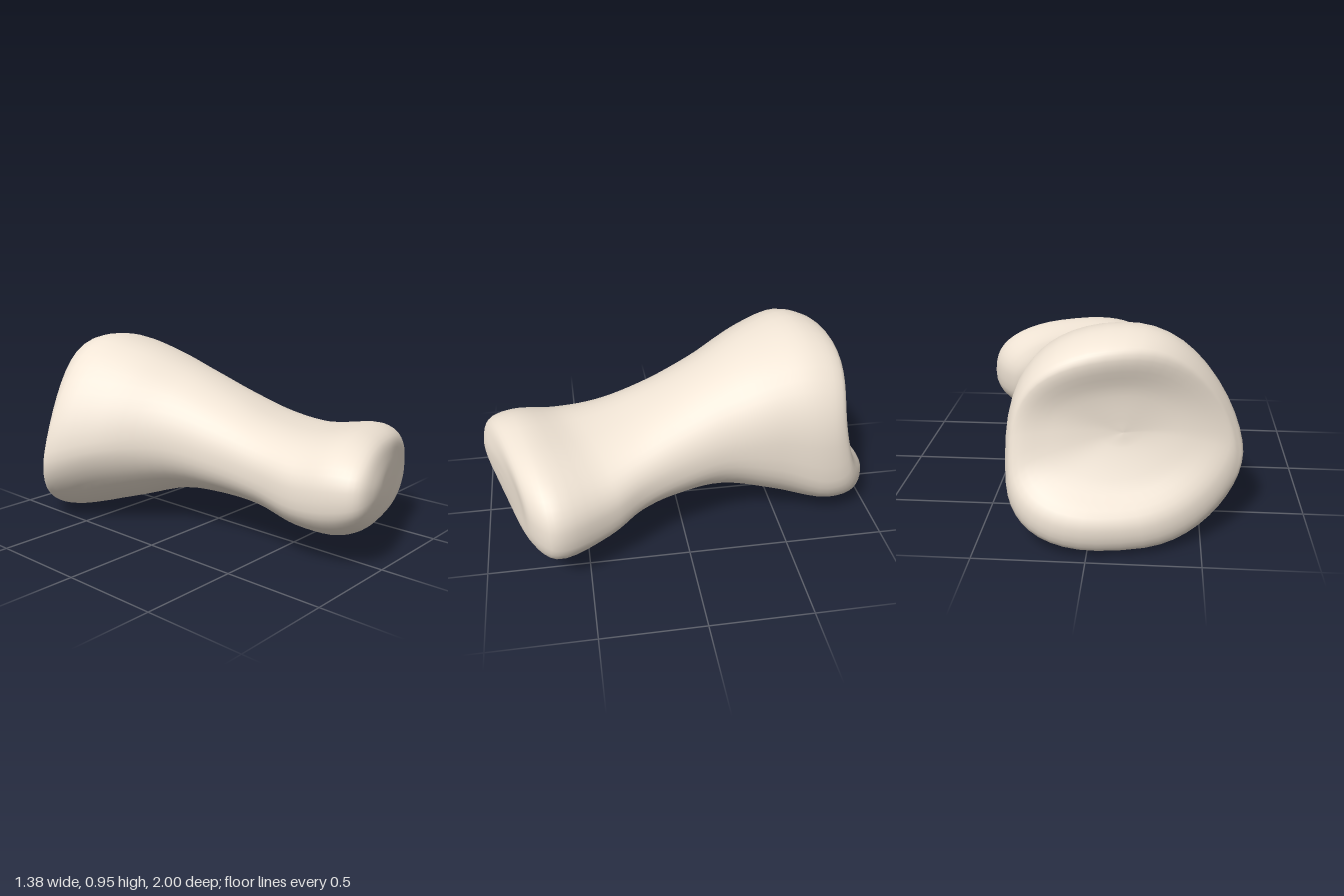
import * as THREE from 'three';

// Cross-sections from the cupped head (back) to the condyle (front):
// [z, xMin, xMax, yMin, yMax, height of the widest line (0..1),
//  z slope over x, z slope over y, saddle, squareness above, squareness below]
const SECTIONS = [
  [-0.768, -0.25, -0.05, 0.45, 0.58, 0.5, -0.2, 0.15, 0.005, 2, 2],       // floor of the cup
  [-0.793, -0.44, 0.16, 0.3, 0.71, 0.45, -0.22, 0.24, 0.03, 2.1, 2.2],
  [-0.83, -0.62, 0.325, 0.18, 0.855, 0.36, -0.23, 0.26, 0.085, 2.1, 2.4], // rim
  [-0.803, -0.665, 0.362, 0.045, 0.905, 0.37, -0.2, 0.2, 0.085, 2.1, 2.5],// rounded lip
  [-0.68, -0.69, 0.38, 0.003, 0.955, 0.37, -0.13, 0.15, 0.03, 2.1, 2.5],  // widest part of the head
  [-0.42, -0.56, 0.37, 0.08, 0.905, 0.42, -0.15, 0.05, 0, 2.1, 2.2],
  [-0.15, -0.36, 0.37, 0.165, 0.8, 0.45, -0.2, 0, 0, 2.1, 2.1],
  [0.1, -0.275, 0.41, 0.18, 0.69, 0.45, -0.25, 0, 0, 2.2, 2.2],           // shaft
  [0.32, -0.25, 0.475, 0.17, 0.605, 0.45, -0.3, 0, 0, 2.4, 2.4],
  [0.52, -0.26, 0.57, 0.115, 0.572, 0.45, -0.33, 0, 0, 2.5, 2.6],
  [0.75, -0.245, 0.69, 0.1, 0.597, 0.47, -0.22, 0, 0, 2.4, 2.6],          // widest part of the condyle
  [0.865, -0.19, 0.6, 0.175, 0.555, 0.47, -0.27, 0, 0, 2.4, 2.5],
  [0.9, -0.07, 0.45, 0.28, 0.47, 0.47, -0.35, 0, 0, 2.2, 2.3],
];
const CUP_CENTRE = new THREE.Vector3(-0.15, 0.515, -0.766);
const CONDYLE_TIP = new THREE.Vector3(0.19, 0.38, 0.906);

// Point of a section at an angle: a sheared superellipse
function sectionPoint([z, x0, x1, y0, y1, m, sx, sy, saddle, nTop, nBottom], angle) {
  const c = Math.cos(angle), s = Math.sin(angle);
  // The head is squarer on its left side than on its right
  const skew = 0.45 * (1 - THREE.MathUtils.smoothstep(z, -0.6, 0));
  const n = (s > 0 ? nTop : nBottom) + skew * c;
  const power = (v) => Math.sign(v) * Math.pow(Math.abs(v), 2 / n);
  const mid = y0 + m * (y1 - y0);
  const dx = power(c) * (x1 - x0) / 2;
  const dy = power(s) * (s > 0 ? y1 - mid : mid - y0);
  // The condyle leans down a little towards its left
  const roll = -0.05 * THREE.MathUtils.smoothstep(z, 0.2, 0.7);
  return new THREE.Vector3((x0 + x1) / 2 + dx, mid + dy + roll * dx,
    z + sx * dx + sy * dy + saddle * Math.cos(2 * angle));
}

function loft(sections, around, along) {
  const positions = [], index = [];
  // One smooth curve per angle, running from pole to pole
  for (let j = 0; j < around; j++) {
    const angle = (j / around) * Math.PI * 2;
    const points = sections.map((s) => sectionPoint(s, angle));
    const curve = new THREE.CatmullRomCurve3([CUP_CENTRE, ...points, CONDYLE_TIP]);
    for (let i = 0; i <= along; i++) positions.push(...curve.getPoint(i / along).toArray());
  }
  const at = (i, j) => (j % around) * (along + 1) + i;
  for (let j = 0; j < around; j++) {
    for (let i = 0; i < along; i++) {
      const a = at(i, j), b = at(i, j + 1), c = at(i + 1, j), d = at(i + 1, j + 1);
      if (i > 0) index.push(a, b, c);
      if (i < along - 1) index.push(b, d, c);
    }
  }
  const geometry = new THREE.BufferGeometry();
  geometry.setAttribute('position', new THREE.Float32BufferAttribute(positions, 3));
  geometry.setIndex(index);
  geometry.computeVertexNormals();
  return geometry;
}

export function createModel() {
  const group = new THREE.Group();
  group.name = 'fingerBone';
  const bone = new THREE.Mesh(
    loft(SECTIONS, 48, 70),
    new THREE.MeshStandardMaterial({ color: 0xf0e4d5 }),
  );
  bone.name = 'bone';
  group.add(bone);
  return group;
}
